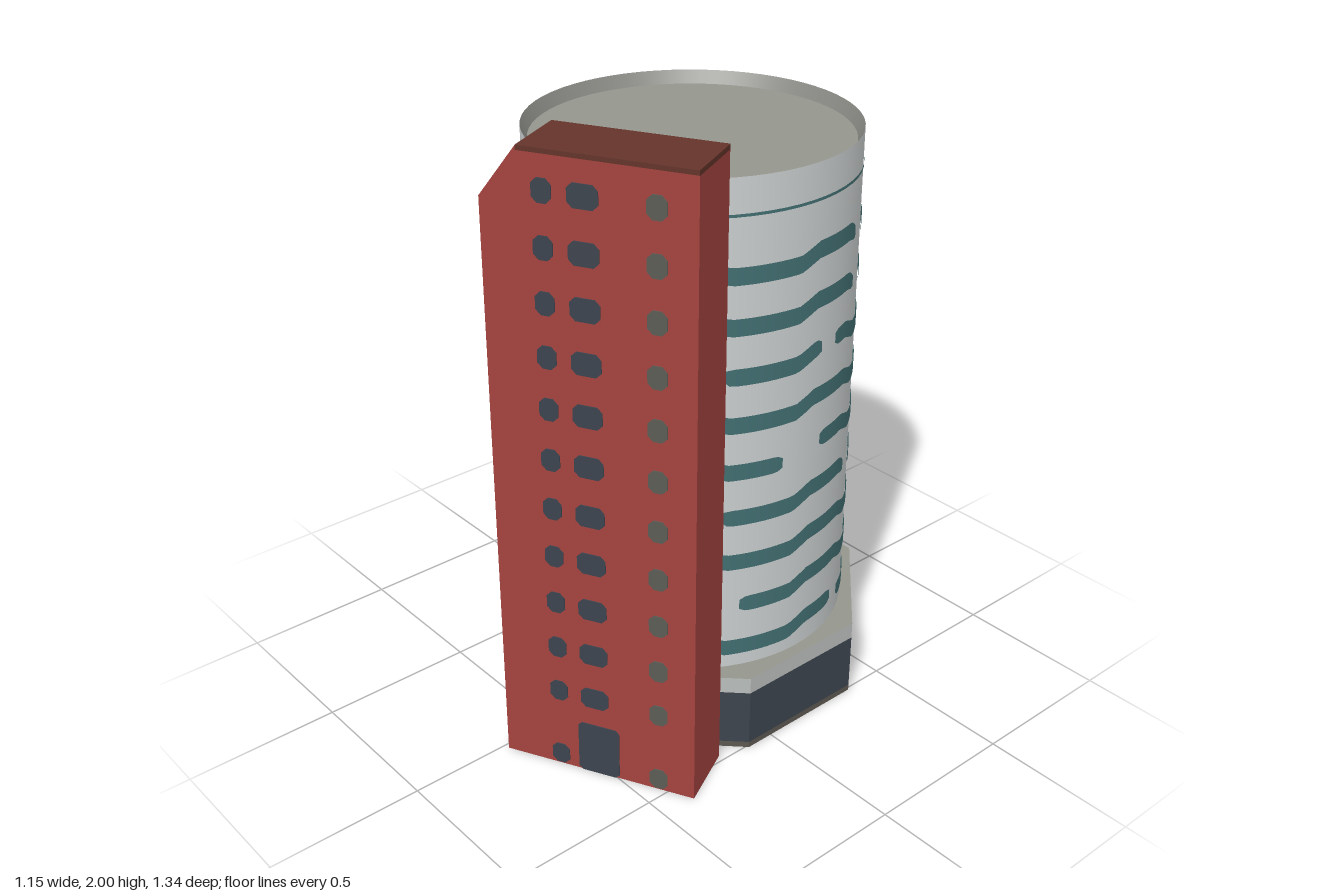
import * as THREE from 'three';

const mat = (name, color, flat = false) => {
  const m = new THREE.MeshStandardMaterial({ color, side: THREE.DoubleSide, flatShading: flat });
  m.name = name;
  return m;
};

export function createModel() {
  const M = {
    wall: mat('pale concrete', 0xcdd1d1),
    teal: mat('teal glass', 0x437073),
    roof: mat('grey roofing', 0x94958d),
    lip: mat('parapet grey', 0x8a8a85),
    base: mat('dark slate', 0x3d444e, true),
    trim: mat('light trim', 0xb9bdbc, true),
    foot: mat('footing brown', 0x5c5750, true),
    brick: mat('red brick', 0xa5443f),
    brown: mat('brown roofing', 0x64342a),
    grey: mat('dull window', 0x5b5c55),
  };
  const model = new THREE.Group();
  const add = (parent, name, geo, material, x = 0, y = 0, z = 0) => {
    const m = new THREE.Mesh(geo, material);
    m.name = name;
    m.position.set(x, y, z);
    parent.add(m);
    return m;
  };

  // Round tower on an octagonal, open-bottomed podium
  const round = new THREE.Group();
  round.name = 'roundTower';
  round.position.set(-0.035, 0, -0.13);
  model.add(round);
  const R = 0.505, OCT = 0.588;

  const octBand = (name, y0, y1, material) =>
    add(round, name, new THREE.CylinderGeometry(OCT, OCT, y1 - y0, 8, 1, true, Math.PI / 8), material, 0, (y0 + y1) / 2, 0);
  octBand('podiumFooting', 0, 0.02, M.foot);
  octBand('podiumWall', 0.02, 0.21, M.base);
  octBand('podiumTrim', 0.21, 0.265, M.trim);
  const disc = (name, r, sides, start, y) =>
    add(round, name, new THREE.CircleGeometry(r, sides, start).rotateX(-Math.PI / 2), M.roof, 0, y, 0);
  disc('podiumRoof', OCT, 8, Math.PI / 8, 0.265);
  disc('towerRoof', 0.485, 64, 0, 1.83);
  add(round, 'towerWall', new THREE.CylinderGeometry(R, R, 1.605, 64, 1, true), M.wall, 0, 1.0675, 0);
  add(round, 'parapetLip', new THREE.CylinderGeometry(R, 0.485, 0.04, 64, 1, true), M.lip, 0, 1.85, 0);
  add(round, 'parapetLine', new THREE.CylinderGeometry(R + 0.002, R + 0.002, 0.009, 64, 1, true), M.teal, 0, 1.76, 0);

  // Window bands step up and down every 60 degrees
  const step = (deg) => {
    const p = (((deg + 67) % 60) + 60) % 60; // falls over 0..8, rises over 33..41
    const s = p < 8 ? 1 - p / 8 : p < 33 ? 0 : p < 41 ? (p - 33) / 8 : 1;
    return (s - 0.5) * 0.027;
  };
  const ribbon = (from, to, y) => {
    const n = Math.max(4, Math.round((to - from) / 2));
    const pos = [], nor = [], idx = [];
    for (let i = 0; i <= n; i++) {
      const deg = from + ((to - from) * i) / n;
      const a = THREE.MathUtils.degToRad(deg);
      const end = Math.min(deg - from, to - deg);
      const h = 0.027 * (to - from >= 360 ? 1 : Math.min(1, 0.6 + end / 6));
      for (const s of [-1, 1]) {
        pos.push(Math.sin(a) * (R + 0.003), y + step(deg) + s * h, Math.cos(a) * (R + 0.003));
        nor.push(Math.sin(a), 0, Math.cos(a));
      }
      if (i < n) {
        const k = i * 2;
        idx.push(k, k + 2, k + 3, k, k + 3, k + 1);
      }
    }
    const g = new THREE.BufferGeometry();
    g.setAttribute('position', new THREE.Float32BufferAttribute(pos, 3));
    g.setAttribute('normal', new THREE.Float32BufferAttribute(nor, 3));
    g.setIndex(idx);
    return g;
  };
  // Gaps in each band, in degrees from the front, top row first
  const gaps = [
    [[-15, -7], [118, 128], [148, 158], [170, 178], [247, 254]],
    [[118, 128], [148, 154]],
    [[49, 59], [97, 105]],
    [],
    [[-70, -62], [-46, -39], [-30, -4], [81, 98]],
    [[-30, -23], [49, 59], [118, 126]],
    [[-23, -15], [-8, 0]],
    [[-30, -23], [56, 66]],
    [[111, 118], [146, 158], [175, 181], [225, 231]],
  ];
  gaps.forEach((row, r) => {
    const y = 1.595 - r * 0.1556;
    if (!row.length) {
      add(round, 'windowBand', ribbon(0, 360, y), M.teal);
      return;
    }
    row.forEach((gap, i) => {
      const next = i + 1 < row.length ? row[i + 1][0] : row[0][0] + 360;
      add(round, 'windowBand', ribbon(gap[1], next, y), M.teal);
    });
  });

  // Slab tower with one sloped shoulder, open at the bottom
  const slab = new THREE.Group();
  slab.name = 'slabTower';
  slab.position.set(0.2475, 0, 0.432);
  slab.rotation.y = THREE.MathUtils.degToRad(27);
  model.add(slab);
  const L = 0.313, D = 0.107, H = 2, ridge = -0.198;
  const lower = [-0.222, 1.967];
  const outline = [[-L, 0], [L, 0], [L, H], [ridge, H], [-L, 1.845]];
  const face = new THREE.Shape(outline.map(([x, y]) => new THREE.Vector2(x, y)));
  add(slab, 'frontWall', new THREE.ShapeGeometry(face), M.brick, 0, 0, D);
  add(slab, 'backWall', new THREE.ShapeGeometry(face).rotateY(Math.PI).scale(-1, 1, 1), M.brick, 0, 0, -D);
  // The mirrored back wall needs outward normals
  const back = slab.children[1].geometry;
  back.setIndex(Array.from(back.index.array).reverse());
  back.computeVertexNormals();

  // Flat panel across the depth between two outline points
  const panel = (name, a, b, material) => {
    const dx = b[0] - a[0], dy = b[1] - a[1];
    const g = new THREE.PlaneGeometry(Math.hypot(dx, dy), 2 * D)
      .rotateX(-Math.PI / 2).rotateZ(Math.atan2(dy, dx));
    add(slab, name, g, material, (a[0] + b[0]) / 2, (a[1] + b[1]) / 2, 0);
  };
  panel('shoulderEnd', [-L, 0], [-L, 1.845], M.brick);
  panel('shoulderSlope', [-L, 1.845], lower, M.brick);
  panel('shoulderEdge', lower, [ridge, H], M.brown);
  panel('slabRoof', [ridge, H], [L, H], M.brown);
  panel('plainEnd', [L, H], [L, 1.985], M.brown);
  panel('plainEnd', [L, 1.985], [L, 0], M.brick);

  // Windows and door, as thin plates set through both long walls
  const plate = (w, h, c) => {
    const s = new THREE.Shape([
      [-w / 2 + c, -h / 2], [w / 2 - c, -h / 2], [w / 2, -h / 2 + c], [w / 2, h / 2 - c],
      [w / 2 - c, h / 2], [-w / 2 + c, h / 2], [-w / 2, h / 2 - c], [-w / 2, -h / 2 + c],
    ].map(([x, y]) => new THREE.Vector2(x, y)));
    return new THREE.ExtrudeGeometry(s, { depth: 0.006, bevelEnabled: false }).translate(0, 0, -0.003);
  };
  const narrow = plate(0.058, 0.07, 0.016);
  const wide = plate(0.09, 0.07, 0.016);
  for (const z of [D, -D]) {
    for (let i = 0; i < 12; i++) {
      const y = i ? 0.28 + (i - 1) * 0.1605 : 0.04;
      add(slab, 'narrowWindow', narrow, M.base, -0.128, y, z);
      add(slab, 'dullWindow', narrow, M.grey, 0.198, y, z);
      if (i) add(slab, 'wideWindow', wide, M.base, -0.01, y, z);
    }
    add(slab, 'door', plate(0.135, 0.18, 0.012), M.base, 0.001, 0.09, z);
    add(slab, 'roofEdge', new THREE.BoxGeometry(L - ridge, 0.014, 0.004), M.brown, (L + ridge) / 2, 1.993, z);
  }
  return model;
}
